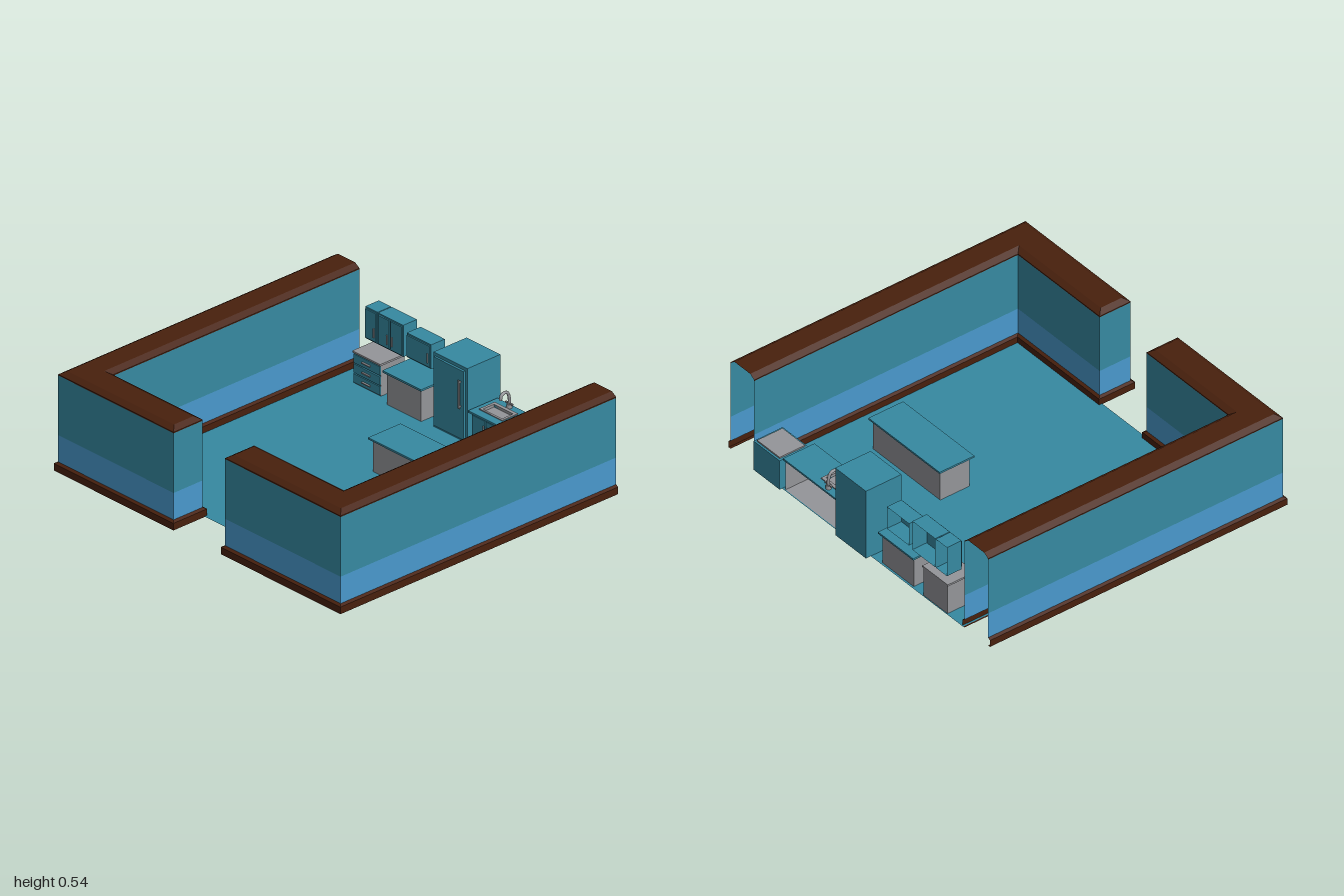
import * as THREE from 'three';

const mat = (name, color) => {
  const m = new THREE.MeshStandardMaterial({ color, side: THREE.DoubleSide });
  m.name = name;
  return m;
};

export function createModel() {
  const root = new THREE.Group();
  root.name = 'kitchenRoom';
  const teal = mat('teal', 0x3689a1);
  const blue = mat('blue', 0x4999cd);
  const brown = mat('brown', 0x48200d);
  const grey = mat('grey', 0x949599);

  const group = (name) => {
    const g = new THREE.Group();
    g.name = name;
    root.add(g);
    return g;
  };
  const add = (parent, name, geo, material) => {
    const m = new THREE.Mesh(geo, material);
    m.name = name;
    parent.add(m);
    return m;
  };
  // Box given by its limits on each axis; openBack leaves out the -z face
  const box = (parent, name, material, [x0, x1], [y0, y1], [z0, z1], openBack = false) => {
    const geo = new THREE.BoxGeometry(x1 - x0, y1 - y0, z1 - z0);
    if (openBack) {
      geo.setIndex(Array.from(geo.index.array).slice(0, 30));
      geo.clearGroups();
    }
    geo.translate((x0 + x1) / 2, (y0 + y1) / 2, (z0 + z1) / 2);
    return add(parent, name, geo, material);
  };

  // Floor
  const floor = new THREE.PlaneGeometry(1.6, 1.605).rotateX(-Math.PI / 2);
  floor.translate(0, 0.004, -0.0875);
  add(root, 'floor', floor, teal);

  // L-shaped hollow walls, open underneath and at the back end
  const outline = (side, o) => {
    const p = [
      [0.985 + o, -0.885], [0.985 + o, 0.9 + o], [0.18 - o, 0.9 + o],
      [0.18 - o, 0.712 - o], [0.805 - o, 0.712 - o], [0.805 - o, -0.885],
    ].map(([x, z]) => [x * side, z]);
    return side > 0 ? p : p.reverse();
  };
  const band = (side, profile) => {
    const v = [];
    for (let k = 0; k < profile.length - 1; k++) {
      const [o0, y0] = profile[k], [o1, y1] = profile[k + 1];
      const lo = outline(side, o0), hi = outline(side, o1);
      for (let i = 0; i < lo.length - 1; i++) {
        const a = [lo[i][0], y0, lo[i][1]], b = [lo[i + 1][0], y0, lo[i + 1][1]];
        const c = [hi[i + 1][0], y1, hi[i + 1][1]], d = [hi[i][0], y1, hi[i][1]];
        v.push(...a, ...d, ...c, ...a, ...c, ...b);
      }
    }
    const g = new THREE.BufferGeometry();
    g.setAttribute('position', new THREE.Float32BufferAttribute(v, 3));
    g.computeVertexNormals();
    return g;
  };
  for (const side of [1, -1]) {
    const wall = group(side > 0 ? 'leftWall' : 'rightWall');
    add(wall, 'baseboard', band(side, [[0, 0], [0.015, 0], [0.015, 0.038], [0, 0.046]]), brown);
    add(wall, 'lowerWall', band(side, [[0, 0.046], [0, 0.19]]), blue);
    add(wall, 'upperWall', band(side, [[0, 0.19], [0, 0.51]]), teal);
    add(wall, 'capEdge', band(side, [[0, 0.51], [0, 0.516], [-0.03, 0.535]]), brown);
    const top = new THREE.Shape(outline(side, -0.03).map(([x, z]) => new THREE.Vector2(x, -z)));
    add(wall, 'capTop', new THREE.ShapeGeometry(top).rotateX(-Math.PI / 2).translate(0, 0.535, 0), brown);
  }

  // Fridge
  const fridge = group('fridge');
  box(fridge, 'fridgeBody', teal, [-0.095, 0.14], [0.005, 0.405], [-0.92, -0.706]);
  box(fridge, 'fridgeDoor', teal, [-0.083, 0.127], [0.02, 0.388], [-0.706, -0.694]);
  box(fridge, 'fridgeHandle', grey, [0.097, 0.109], [0.185, 0.335], [-0.688, -0.681]);
  for (const y of [0.19, 0.322]) {
    box(fridge, 'handleMount', grey, [0.099, 0.107], [y, y + 0.008], [-0.694, -0.688]);
  }

  // Plain counter and island: grey body under a teal slab
  const counter = (name, [x0, x1], [z0, z1]) => {
    const g = group(name);
    box(g, 'counterBody', grey, [x0 + 0.016, x1 - 0.016], [0.005, 0.177], [z0 + 0.016, z1 - 0.016]);
    box(g, 'counterTop', teal, [x0, x1], [0.177, 0.187], [z0, z1]);
  };
  counter('counter', [-0.425, -0.155], [-0.895, -0.68]);
  counter('island', [0.03, 0.575], [-0.375, -0.165]);

  // Drawer cabinet
  const drawers = group('drawerCabinet');
  box(drawers, 'drawerBody', grey, [-0.675, -0.49], [0.005, 0.17], [-0.885, -0.732]);
  box(drawers, 'drawerTop', grey, [-0.68, -0.485], [0.17, 0.18], [-0.888, -0.722]);
  for (let i = 0; i < 3; i++) {
    const y = 0.012 + i * 0.053;
    box(drawers, 'drawerFront', teal, [-0.675, -0.49], [y, y + 0.047], [-0.732, -0.724]);
    box(drawers, 'drawerPull', grey, [-0.61, -0.555], [y + 0.022, y + 0.028], [-0.724, -0.714]);
  }

  // Upper cabinets, open at the back
  const upper = (name, [x0, x1], [y0, y1], doors) => {
    const g = group(name);
    box(g, 'cabinetBody', teal, [x0, x1], [y0, y1], [-0.885, -0.797], true);
    const w = (x1 - x0) / doors;
    for (let i = 0; i < doors; i++) {
      const a = x0 + i * w + 0.006, b = x0 + (i + 1) * w - 0.006;
      box(g, 'cabinetDoor', teal, [a, b], [y0 + 0.008, y1 - 0.008], [-0.797, -0.79]);
      const h = i === 1 ? a + 0.008 : b - 0.013;
      box(g, 'cabinetHandle', grey, [h, h + 0.005], [y0 + 0.03, y0 + 0.08], [-0.79, -0.784]);
    }
  };
  upper('upperCabinetSingle', [-0.67, -0.585], [0.225, 0.395], 1);
  upper('upperCabinetDouble', [-0.58, -0.405], [0.225, 0.395], 2);
  upper('upperCabinetShort', [-0.38, -0.21], [0.235, 0.365], 1);

  // Sink counter with a cut-out slab and basin
  const sink = group('sinkCounter');
  box(sink, 'sinkBody', grey, [0.165, 0.565], [0.005, 0.177], [-0.885, -0.716], true);
  for (let i = 0; i < 4; i++) {
    const x = 0.17 + i * 0.0985;
    box(sink, 'sinkDoor', teal, [x, x + 0.0925], [0.015, 0.168], [-0.716, -0.708]);
    const h = i % 2 ? x + 0.008 : x + 0.08;
    box(sink, 'sinkDoorHandle', grey, [h, h + 0.005], [0.09, 0.14], [-0.708, -0.702]);
  }
  const rect = (T, x0, x1, z0, z1) => new T([[x0, -z0], [x1, -z0], [x1, -z1], [x0, -z1]]
    .map(([x, y]) => new THREE.Vector2(x, y)));
  const plate = (outer, hole, y, depth) => {
    const s = rect(THREE.Shape, ...outer);
    s.holes.push(rect(THREE.Path, ...hole));
    return new THREE.ExtrudeGeometry(s, { depth, bevelEnabled: false })
      .rotateX(-Math.PI / 2).translate(0, y, 0);
  };
  const hole = [0.195, 0.328, -0.828, -0.757];
  add(sink, 'sinkTop', plate([0.152, 0.577, -0.89, -0.7], hole, 0.177, 0.01), teal);
  add(sink, 'sinkRim', plate([0.18, 0.342, -0.847, -0.745], hole, 0.187, 0.005), grey);
  box(sink, 'basinFloor', grey, [0.195, 0.328], [0.135, 0.14], [-0.828, -0.757]);
  for (const x of [0.192, 0.328]) box(sink, 'basinSide', grey, [x, x + 0.003], [0.135, 0.19], [-0.828, -0.757]);
  for (const z of [-0.831, -0.757]) box(sink, 'basinEnd', grey, [0.192, 0.331], [0.135, 0.19], [z, z + 0.003]);

  // Faucet
  const arch = new THREE.CatmullRomCurve3([
    [0.187, -0.865], [0.24, -0.865], [0.27, -0.853], [0.277, -0.833], [0.268, -0.814], [0.245, -0.808],
  ].map(([y, z]) => new THREE.Vector3(0.261, y, z)));
  add(sink, 'faucetSpout', new THREE.TubeGeometry(arch, 20, 0.008, 10), grey);
  add(sink, 'faucetBase', new THREE.CylinderGeometry(0.013, 0.015, 0.02, 14).translate(0.261, 0.197, -0.865), grey);
  box(sink, 'faucetLever', grey, [0.236, 0.286], [0.206, 0.213], [-0.869, -0.861]);

  // Stove
  const stove = group('stove');
  box(stove, 'stoveBody', teal, [0.583, 0.783], [0.005, 0.176], [-0.906, -0.73]);
  box(stove, 'stoveTop', grey, [0.597, 0.769], [0.176, 0.184], [-0.895, -0.742]);
  box(stove, 'ovenDoor', teal, [0.595, 0.771], [0.02, 0.132], [-0.73, -0.722]);
  box(stove, 'ovenHandle', grey, [0.61, 0.756], [0.116, 0.122], [-0.714, -0.706]);
  for (const x of [0.62, 0.74]) box(stove, 'ovenHandleMount', grey, [x, x + 0.006], [0.116, 0.122], [-0.722, -0.714]);
  for (let i = 0; i < 4; i++) {
    const knob = new THREE.CylinderGeometry(0.009, 0.009, 0.013, 14).rotateX(Math.PI / 2);
    add(stove, 'stoveKnob', knob.translate(0.63 + i * 0.035, 0.153, -0.7235), grey);
  }

  return root;
}
